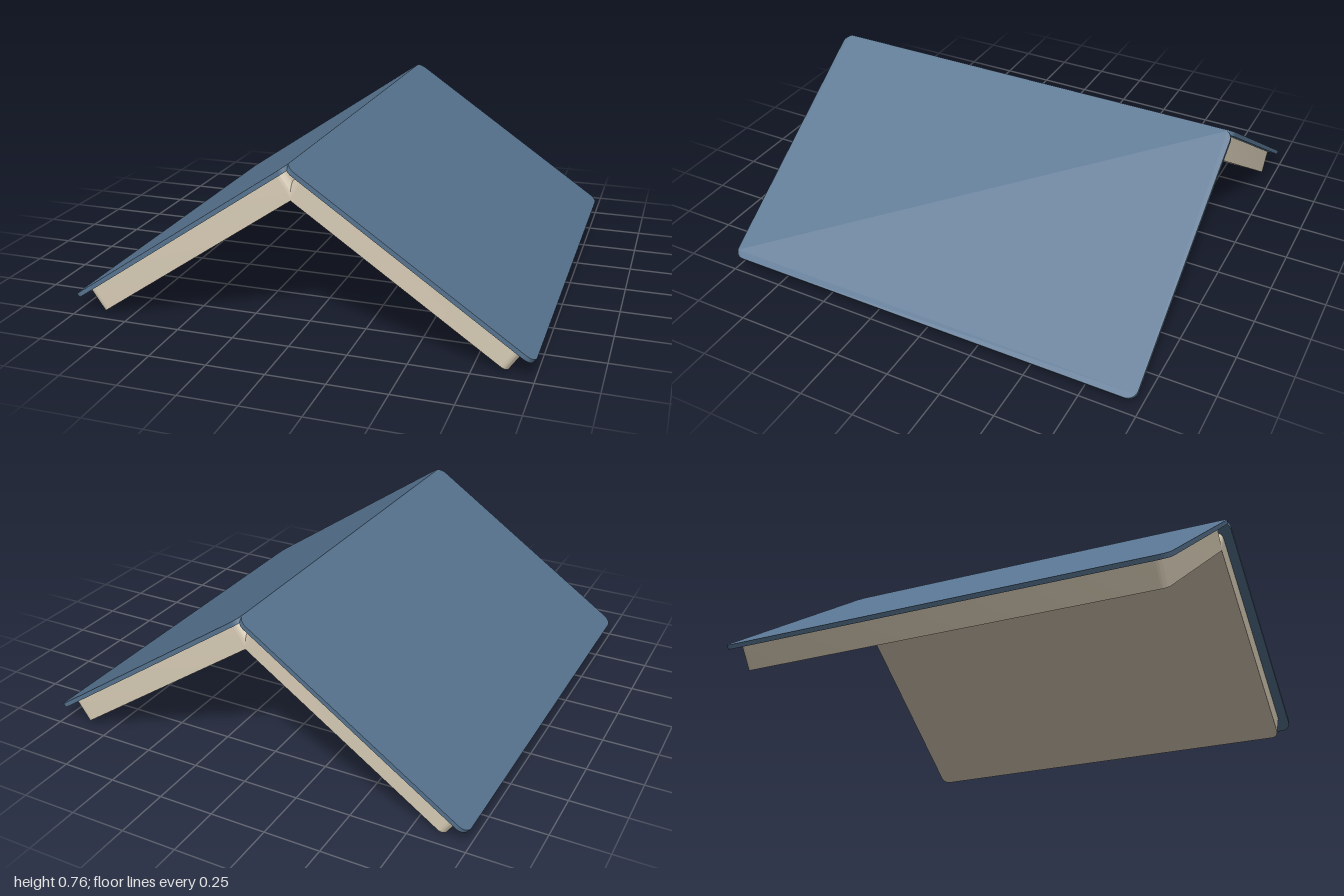
import * as THREE from 'three';
import { toCreasedNormals } from 'three/addons/utils/BufferGeometryUtils.js';

const ANGLE = 0.6;                    // slope of each half
const LENGTH = 1 / Math.cos(ANGLE);   // ridge to outer edge
const MARGIN = 0.047;                 // cover overhang around the pages
const COVER = 0.02, PAGES = 0.11;     // thicknesses
const HALF_DEPTH = 0.99;
const RIDGE = (LENGTH - MARGIN) * Math.sin(ANGLE) + (COVER + PAGES) * Math.cos(ANGLE);

// Flat slab with rounded corners, from x0 to x1, hanging down from y = 0
function slab(x0, x1, halfZ, r, thickness) {
  const s = new THREE.Shape();
  s.moveTo(x0 + r, -halfZ);
  s.lineTo(x1 - r, -halfZ);
  s.absarc(x1 - r, -halfZ + r, r, -Math.PI / 2, 0);
  s.lineTo(x1, halfZ - r);
  s.absarc(x1 - r, halfZ - r, r, 0, Math.PI / 2);
  s.lineTo(x0 + r, halfZ);
  s.absarc(x0 + r, halfZ - r, r, Math.PI / 2, Math.PI);
  s.lineTo(x0, -halfZ + r);
  s.absarc(x0 + r, -halfZ + r, r, Math.PI, Math.PI * 1.5);
  const g = new THREE.ExtrudeGeometry(s, { depth: thickness, bevelEnabled: false, curveSegments: 10 });
  g.rotateX(Math.PI / 2);
  return toCreasedNormals(g, 0.6);
}

export function createModel() {
  const coverMat = new THREE.MeshStandardMaterial({ color: 0x56738f });
  coverMat.name = 'cover blue';
  const pageMat = new THREE.MeshStandardMaterial({ color: 0xd8ccb6 });
  pageMat.name = 'page cream';

  const coverGeo = slab(0, LENGTH, HALF_DEPTH, 0.045, COVER);
  const pageGeo = slab(MARGIN, LENGTH - MARGIN, HALF_DEPTH - 0.045, 0.035, PAGES);

  const book = new THREE.Group();
  book.name = 'openBook';
  for (const side of ['left', 'right']) {
    // Each half slopes down from the ridge; the right one is turned about
    const half = new THREE.Group();
    half.name = side + 'Half';
    half.position.y = RIDGE;
    half.rotation.set(0, side === 'left' ? 0 : Math.PI, -ANGLE, 'YXZ');

    const cover = new THREE.Mesh(coverGeo, coverMat);
    cover.name = side + 'Cover';
    const pages = new THREE.Mesh(pageGeo, pageMat);
    pages.name = side + 'Pages';
    pages.position.y = -COVER;
    half.add(cover, pages);
    book.add(half);
  }
  return book;
}
